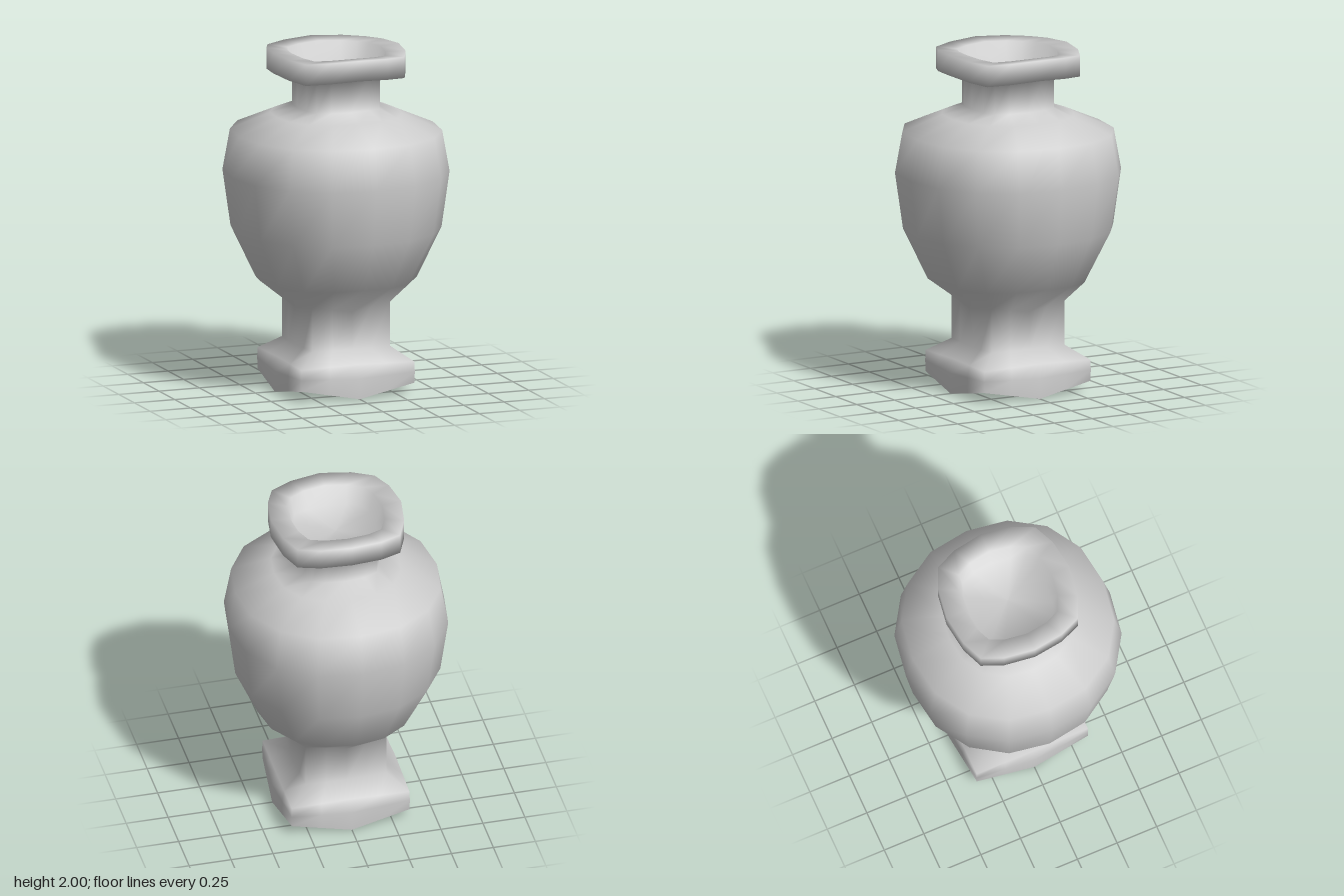
import * as THREE from 'three';

const material = new THREE.MeshStandardMaterial({ color: 0xcccccc });

// Swell of the points between axis and diagonal: [sideways, outward]
const FLAT = [1, 1];
const ROUND = [1.1, 1.085];
const SOFT = [1.19, 1.04];

// One 16-point ring, four-fold symmetric.
// mid: reach along the axes, corner: x and z at the diagonals,
// yMid / yCorner: heights on the axes and at the diagonals.
function ring([mid, corner, [side, out], yMid, yCorner = yMid]) {
  const points = [];
  const across = (corner / 2) * side;
  const reach = ((mid + corner) / 2) * out;
  const yBetween = (yMid + yCorner) / 2;
  const quarter = [
    [0, yMid, mid],
    [across, yBetween, reach],
    [corner, yCorner, corner],
    [reach, yBetween, across],
  ];
  for (let q = 0; q < 4; q++) {
    for (const [x, y, z] of quarter) {
      const p = new THREE.Vector3(x, y, z);
      points.push(p.applyAxisAngle(new THREE.Vector3(0, 1, 0), (q * Math.PI) / 2));
    }
  }
  return points;
}

// Smooth skin through a stack of rings
function loft(name, rows) {
  const positions = [];
  const index = [];
  rows.forEach((row, i) => {
    for (const p of ring(row)) positions.push(p.x, p.y, p.z);
    if (i === rows.length - 1) return;
    for (let j = 0; j < 16; j++) {
      const a = i * 16 + j;
      const b = i * 16 + ((j + 1) % 16);
      index.push(a, b, b + 16, a, b + 16, a + 16);
    }
  });
  const geometry = new THREE.BufferGeometry();
  geometry.setAttribute('position', new THREE.Float32BufferAttribute(positions, 3));
  geometry.setIndex(index);
  geometry.computeVertexNormals();
  const mesh = new THREE.Mesh(geometry, material);
  mesh.name = name;
  return mesh;
}

export function createModel() {
  const group = new THREE.Group();
  group.name = 'vase';

  group.add(loft('vaseShell', [
    // foot with raised corners
    [0.38, 0.35, FLAT, 0.0, 0.065],
    [0.38, 0.352, FLAT, 0.12, 0.13],
    [0.355, 0.35, FLAT, 0.2, 0.19],
    // square stem
    [0.256, 0.24, FLAT, 0.27],
    [0.256, 0.24, FLAT, 0.49, 0.53],
    // round body
    [0.47, 0.325, ROUND, 0.66, 0.645],
    [0.6, 0.435, ROUND, 0.95],
    [0.643, 0.47, ROUND, 1.28],
    [0.6, 0.44, ROUND, 1.52],
    [0.37, 0.275, ROUND, 1.62],
    // neck
    [0.24, 0.195, SOFT, 1.665],
    [0.24, 0.195, SOFT, 1.86],
    // rim
    [0.388, 0.306, SOFT, 1.88, 1.86],
    [0.388, 0.306, SOFT, 2.0, 1.985],
    [0.275, 0.216, SOFT, 1.99, 1.98],
    // shallow mouth
    [0.24, 0.2, SOFT, 1.87],
    [0, 0, FLAT, 1.86],
  ]));

  // hollow underside of the foot
  group.add(loft('footUnderside', [
    [0, 0, FLAT, 0.075],
    [0.33, 0.315, FLAT, 0.07],
    [0.38, 0.35, FLAT, 0.0, 0.065],
  ]));

  return group;
}
